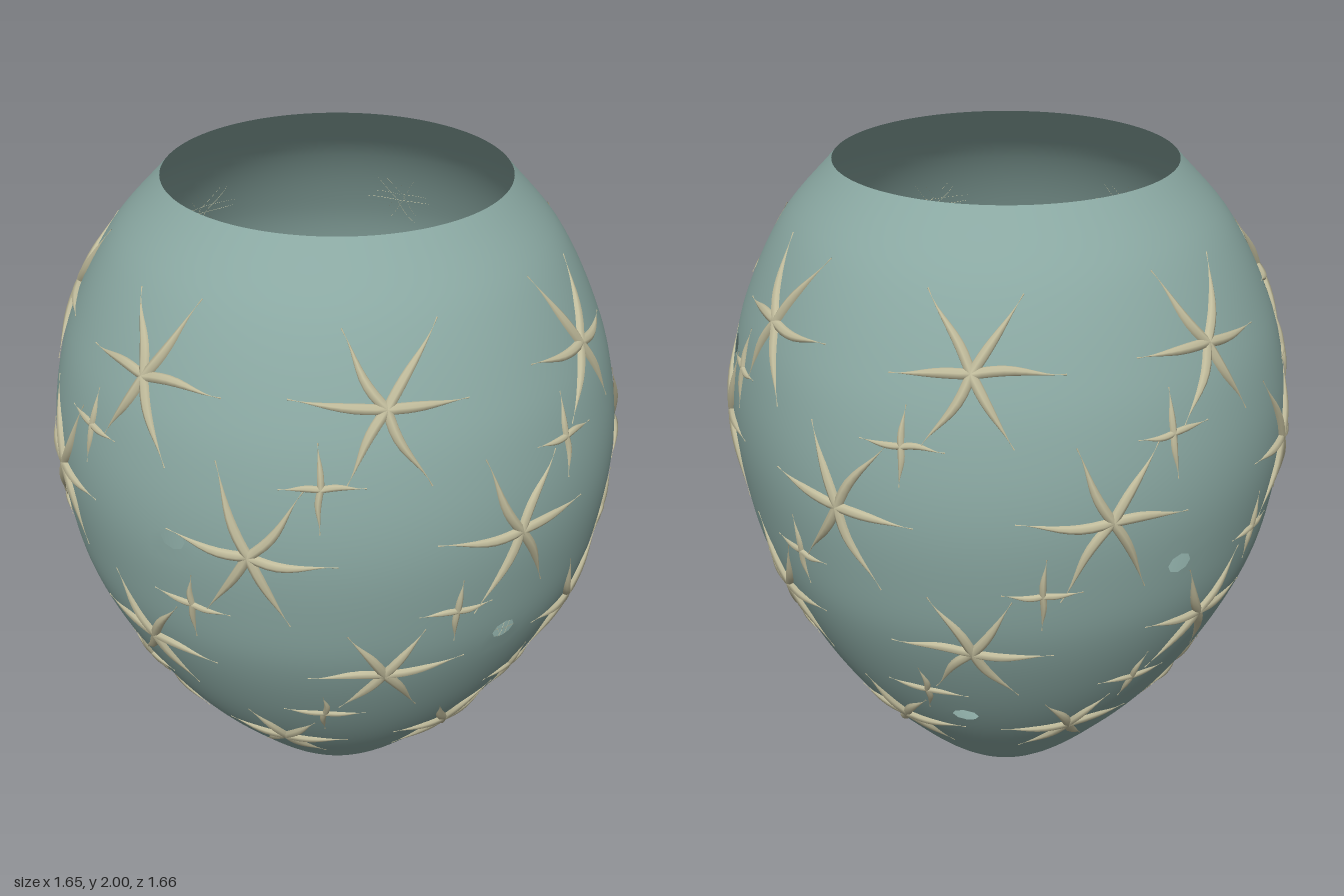
import * as THREE from 'three';

const CX = -0.02, CZ = -0.012, HEIGHT = 2;
const COLS = 144, ROWS = 64;
const rad = THREE.MathUtils.degToRad;

// Vase profile: [height, radius]
const PROFILE = [
  [0, 0.035], [0.085, 0.2], [0.29, 0.41], [0.47, 0.555], [0.67, 0.675], [0.88, 0.765],
  [1.07, 0.805], [1.25, 0.82], [1.42, 0.803], [1.6, 0.752], [1.83, 0.632], [2, 0.48],
];

// Smooth radius at a height (Hermite interpolation of the profile)
function profileRadius(y) {
  const last = PROFILE.length - 1;
  let i = 0;
  while (i < last - 1 && y > PROFILE[i + 1][0]) i++;
  const slope = (k) => {
    const a = PROFILE[Math.max(k - 1, 0)], b = PROFILE[Math.min(k + 1, last)];
    return (b[1] - a[1]) / (b[0] - a[0]);
  };
  const [y0, r0] = PROFILE[i], [y1, r1] = PROFILE[i + 1];
  const h = y1 - y0, t = (y - y0) / h, t2 = t * t, t3 = t2 * t;
  return (2 * t3 - 3 * t2 + 1) * r0 + (t3 - 2 * t2 + t) * h * slope(i)
    + (3 * t2 - 2 * t3) * r1 + (t3 - t2) * h * slope(i + 1);
}

// Point on the vase wall; azimuth runs from +z towards +x, one side is slightly flattened
function wall(az, y) {
  const d = Math.atan2(Math.sin(az - rad(57)), Math.cos(az - rad(57)));
  const flat = 0.04 * Math.exp(-((d / rad(25)) ** 2)) * Math.max(0, 1 - (y - 1) ** 2);
  const r = profileRadius(y) * (1 - flat);
  return new THREE.Vector3(CX + r * Math.sin(az), y, CZ + r * Math.cos(az));
}

// Local frame on the wall: east, north and outward normal
function frame(az, y) {
  const e = 0.01;
  const east = wall(az + e, y).sub(wall(az - e, y)).normalize();
  const north = wall(az, Math.min(y + e, HEIGHT)).sub(wall(az, Math.max(y - e, 0))).normalize();
  const out = new THREE.Vector3().crossVectors(east, north).normalize();
  return { origin: wall(az, y), east, north, out };
}

// Small oval openings: [x, z, height]
const HOLES = [
  [-0.2, 0.78, 0.92], [0.47, 0.57, 1.48], [0.55, -0.23, 0.53], [0.3, -0.76, 1.08],
  [-0.8, 0.13, 1.26], [-0.56, -0.33, 0.66], [-0.38, -0.625, 1.63],
];

// Open shell; the grid around each opening is pulled to an oval and its middle left out
function vaseGeometry() {
  const grid = [];
  for (let i = 0; i <= ROWS; i++)
    for (let j = 0; j < COLS; j++)
      grid.push([(j / COLS) * Math.PI * 2, (i / ROWS) * HEIGHT]);
  const id = (i, j) => i * COLS + ((j % COLS) + COLS) % COLS;

  const removed = new Set();
  for (const [x, z, y] of HOLES) {
    const az = Math.atan2(x - CX, z - CZ), r = profileRadius(y);
    const ci = Math.round((y / HEIGHT) * ROWS), cj = Math.round((az / (Math.PI * 2)) * COLS);
    removed.add(id(ci, cj));
    for (let di = -1; di <= 1; di++)
      for (let dj = -1; dj <= 1; dj++) {
        if (!di && !dj) continue;
        const a = Math.atan2(di, dj);
        grid[id(ci + di, cj + dj)] = [az + (0.038 * Math.cos(a)) / r, y + 0.03 * Math.sin(a)];
      }
  }

  const pos = grid.flatMap(([az, y]) => wall(az, y).toArray());
  const index = [];
  for (let i = 0; i < ROWS; i++)
    for (let j = 0; j < COLS; j++) {
      const a = id(i, j), b = id(i, j + 1), c = id(i + 1, j + 1), d = id(i + 1, j);
      if (![a, b, c, d].some((v) => removed.has(v))) index.push(a, b, c, a, c, d);
    }
  // Closed foot
  const foot = pos.length / 3;
  pos.push(CX, 0, CZ);
  for (let j = 0; j < COLS; j++) index.push(foot, id(0, j + 1), id(0, j));
  return surface(pos, index);
}

function surface(pos, index) {
  const g = new THREE.BufferGeometry();
  g.setAttribute('position', new THREE.Float32BufferAttribute(pos, 3));
  g.setIndex(index);
  g.computeVertexNormals();
  return g;
}

// Seeded jitter in -1..1
let seed = 7;
function jitter() {
  seed = (seed * 16807) % 2147483647;
  return (seed / 2147483647) * 2 - 1;
}

// Star of thin, tapering, slightly bent arms that hug the wall
function starGeometry(az, y, arms, size, width, turn) {
  const f = frame(az, y), pos = [], index = [];
  const STEPS = 9;
  const section = [[-1, -0.3], [-0.8, 0.45], [0, 0.9], [0.8, 0.45], [1, -0.3]];
  const n = section.length;
  for (let a = 0; a < arms; a++) {
    const angle = turn + (a / arms) * Math.PI * 2 + jitter() * 0.06;
    const length = size * (1 + 0.08 * jitter()), bend = 0.05 * jitter() * size;
    const first = pos.length / 3;
    for (let s = 0; s <= STEPS; s++) {
      const t = s / STEPS;
      const w = s === STEPS ? 0.002 : width * (0.95 + 0.25 * Math.sin(t * 5) - 0.75 * t);
      for (const [side, lift] of section) {
        const u = t * length, v = side * w + bend * Math.sin(t * Math.PI * 1.5);
        const q = f.origin.clone()
          .addScaledVector(f.east, u * Math.cos(angle) - v * Math.sin(angle))
          .addScaledVector(f.north, u * Math.sin(angle) + v * Math.cos(angle));
        const qa = Math.atan2(q.x - CX, q.z - CZ), qy = THREE.MathUtils.clamp(q.y, 0.02, 1.98);
        const p = wall(qa, qy).addScaledVector(frame(qa, qy).out, lift * w + 0.003);
        pos.push(p.x, p.y, p.z);
      }
    }
    for (let s = 0; s < STEPS; s++)
      for (let k = 0; k < n - 1; k++) {
        const p = first + s * n + k;
        index.push(p, p + n, p + n + 1, p, p + n + 1, p + 1);
      }
  }
  return surface(pos, index);
}

// Rows of seven stars: [height, first azimuth, arms, arm length, half width]
const STAR_ROWS = [
  [1.65, 12.5, 6, 0.235, 0.014], [1.265, -13, 6, 0.245, 0.014],
  [0.855, 12.5, 6, 0.22, 0.014], [0.455, -13, 6, 0.2, 0.014],
  [1.465, 0, 4, 0.115, 0.009], [1.06, 26, 4, 0.115, 0.009], [0.655, 0, 4, 0.115, 0.009],
];

export function createModel() {
  const model = new THREE.Group();
  model.name = 'starVase';
  const glaze = new THREE.MeshStandardMaterial({ color: 0x8aa8a2, side: THREE.DoubleSide });
  const clay = new THREE.MeshStandardMaterial({ color: 0xc0bb9b, side: THREE.DoubleSide });

  const vase = new THREE.Mesh(vaseGeometry(), glaze);
  vase.name = 'vaseShell';
  model.add(vase);

  for (const [y, start, arms, size, width] of STAR_ROWS) {
    const row = new THREE.Group();
    row.name = arms === 6 ? 'largeStarRow' : 'smallStarRow';
    for (let k = 0; k < 7; k++) {
      const az = rad(start + (k * 360) / 7);
      const star = new THREE.Mesh(starGeometry(az, y, arms, size, width, -0.04 + 0.06 * jitter()), clay);
      star.name = arms === 6 ? 'largeStar' : 'smallStar';
      row.add(star);
    }
    model.add(row);
  }
  return model;
}
